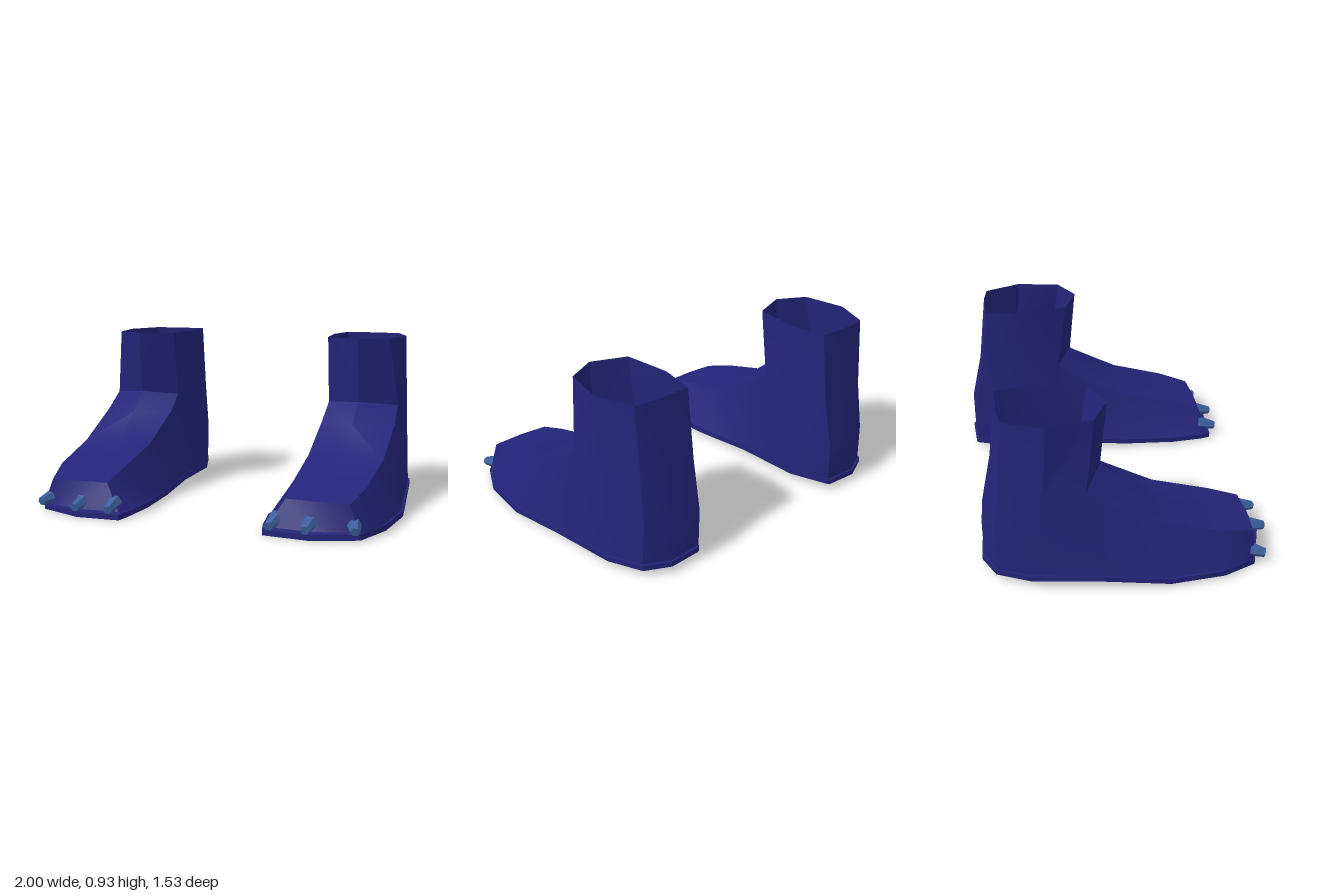
import * as THREE from 'three';
import { mergeGeometries, toCreasedNormals } from 'three/addons/utils/BufferGeometryUtils.js';

const bootBlue = new THREE.MeshStandardMaterial({ color: 0x24247a, side: THREE.DoubleSide });
bootBlue.name = 'bootBlue';
const clawBlue = new THREE.MeshStandardMaterial({ color: 0x3d609e, flatShading: true });
clawBlue.name = 'clawBlue';

// Skin a surface through rows of points; side -1 mirrors it in x
function skin(rows, side) {
  const pos = [], index = [], n = rows[0].length;
  rows.forEach(row => row.forEach(([x, y, z]) => pos.push(x * side, y, z)));
  for (let i = 0; i < rows.length - 1; i++) {
    for (let j = 0; j < n - 1; j++) {
      const a = i * n + j, b = a + n, c = b + 1, d = a + 1;
      if (side > 0) index.push(a, b, c, a, c, d);
      else index.push(a, c, b, a, d, c);
    }
  }
  const g = new THREE.BufferGeometry();
  g.setAttribute('position', new THREE.Float32BufferAttribute(pos, 3));
  g.setIndex(index);
  return g.toNonIndexed();
}

const mesh = (name, patches, crease) => {
  const m = new THREE.Mesh(toCreasedNormals(mergeGeometries(patches), crease), bootBlue);
  m.name = name;
  return m;
};

// Foot sections from toe to ankle: inner bottom, inner top, ridge, outer top, outer bottom
const foot = [
  [[0.39, 0.035, 0.68], [0.41, 0.04, 0.695], [0.64, 0.04, 0.71], [0.87, 0.04, 0.65], [0.89, 0.035, 0.635]],
  [[0.375, 0.04, 0.6], [0.5, 0.18, 0.645], [0.66, 0.18, 0.655], [0.83, 0.18, 0.645], [0.92, 0.04, 0.58]],
  [[0.36, 0.045, 0.48], [0.485, 0.23, 0.48], [0.67, 0.235, 0.48], [0.87, 0.23, 0.48], [0.96, 0.045, 0.48]],
  [[0.37, 0.05, 0.17], [0.475, 0.31, 0.17], [0.67, 0.315, 0.17], [0.885, 0.31, 0.17], [0.985, 0.05, 0.17]],
  [[0.395, 0.065, -0.12], [0.47, 0.46, -0.12], [0.67, 0.46, -0.01], [0.885, 0.46, -0.12], [0.95, 0.065, -0.12]],
  [[0.4, 0.07, -0.24], [0.475, 0.55, -0.235], [0.67, 0.57, -0.14], [0.875, 0.55, -0.235], [0.935, 0.07, -0.24]],
];

// Heel and shaft rings, from the inner ankle round the back to the outer ankle: [x, z]
const heel = [
  [0.07, [[0.4, -0.24], [0.41, -0.53], [0.49, -0.745], [0.68, -0.755], [0.81, -0.69], [0.89, -0.52], [0.935, -0.24]]],
  [0.28, [[0.433, -0.238], [0.42, -0.52], [0.485, -0.745], [0.68, -0.755], [0.8, -0.695], [0.885, -0.5], [0.909, -0.238]]],
  [0.55, [[0.475, -0.235], [0.432, -0.48], [0.48, -0.69], [0.67, -0.695], [0.79, -0.66], [0.885, -0.45], [0.875, -0.235]]],
  [0.925, [[0.48, -0.18], [0.445, -0.44], [0.48, -0.645], [0.68, -0.65], [0.795, -0.63], [0.875, -0.43], [0.83, -0.19]]],
].map(([y, ring]) => ring.map(([x, z]) => [x, y, z]));

// Sole stations from toe to heel: inner x, z, outer x, z, bottom y
const sole = [
  [0.4, 0.715, 0.64, 0.73, 0],
  [0.38, 0.65, 0.885, 0.65, 0.004],
  [0.35, 0.47, 0.97, 0.47, 0.015],
  [0.365, 0.18, 1.0, 0.18, 0.02],
  [0.395, -0.15, 0.955, -0.15, 0.038],
  [0.41, -0.53, 0.9, -0.52, 0.038],
  [0.49, -0.75, 0.815, -0.7, 0.038],
  [0.5, -0.755, 0.68, -0.765, 0.038],
].map(([xi, zi, xo, zo, y]) => {
  const t = y + 0.03;
  return [[xi, y, zi], [xo, y, zo], [xo, t, zo], [xi, t, zi], [xi, y, zi]];
});

// Stubby toe claws: x, z, yaw
const claws = [[0.45, 0.7, -0.08], [0.635, 0.71, 0], [0.855, 0.655, 0.3]];

function makeBoot(side) {
  const boot = new THREE.Group();
  boot.name = side > 0 ? 'leftBoot' : 'rightBoot';

  // Upper: foot, heel and open shaft
  const ankle = foot[foot.length - 1].slice(1, 4);
  const rim = heel[3];
  const shaftFront = [[rim[0], [0.67, 0.925, -0.105], rim[6]], ankle];
  boot.add(mesh('upper', [skin([...foot].reverse(), side), skin(heel, side), skin(shaftFront, side)], 0.55));

  // Sole with both end faces
  const [f, b] = [sole[0], sole[sole.length - 1]];
  const toeCap = [[f[3], f[2]], [f[0], f[1]]];
  const heelCap = [[b[0], b[1]], [b[3], b[2]]];
  boot.add(mesh('sole', [skin(sole, side), skin(toeCap, side), skin(heelCap, side)], 0.5));

  claws.forEach(([x, z, yaw], i) => {
    const g = new THREE.CylinderGeometry(0.027, 0.048, 0.11, 6, 1, false, Math.PI / 6);
    g.rotateX(Math.PI / 2).scale(0.9, 0.85, 1).rotateX(0.2).rotateY(yaw * side);
    const claw = new THREE.Mesh(g, clawBlue);
    claw.name = 'claw' + (i + 1);
    claw.position.set(x * side, 0.07, z);
    boot.add(claw);
  });
  return boot;
}

export function createModel() {
  const model = new THREE.Group();
  model.name = 'clawedBoots';
  model.add(makeBoot(1), makeBoot(-1));
  return model;
}
